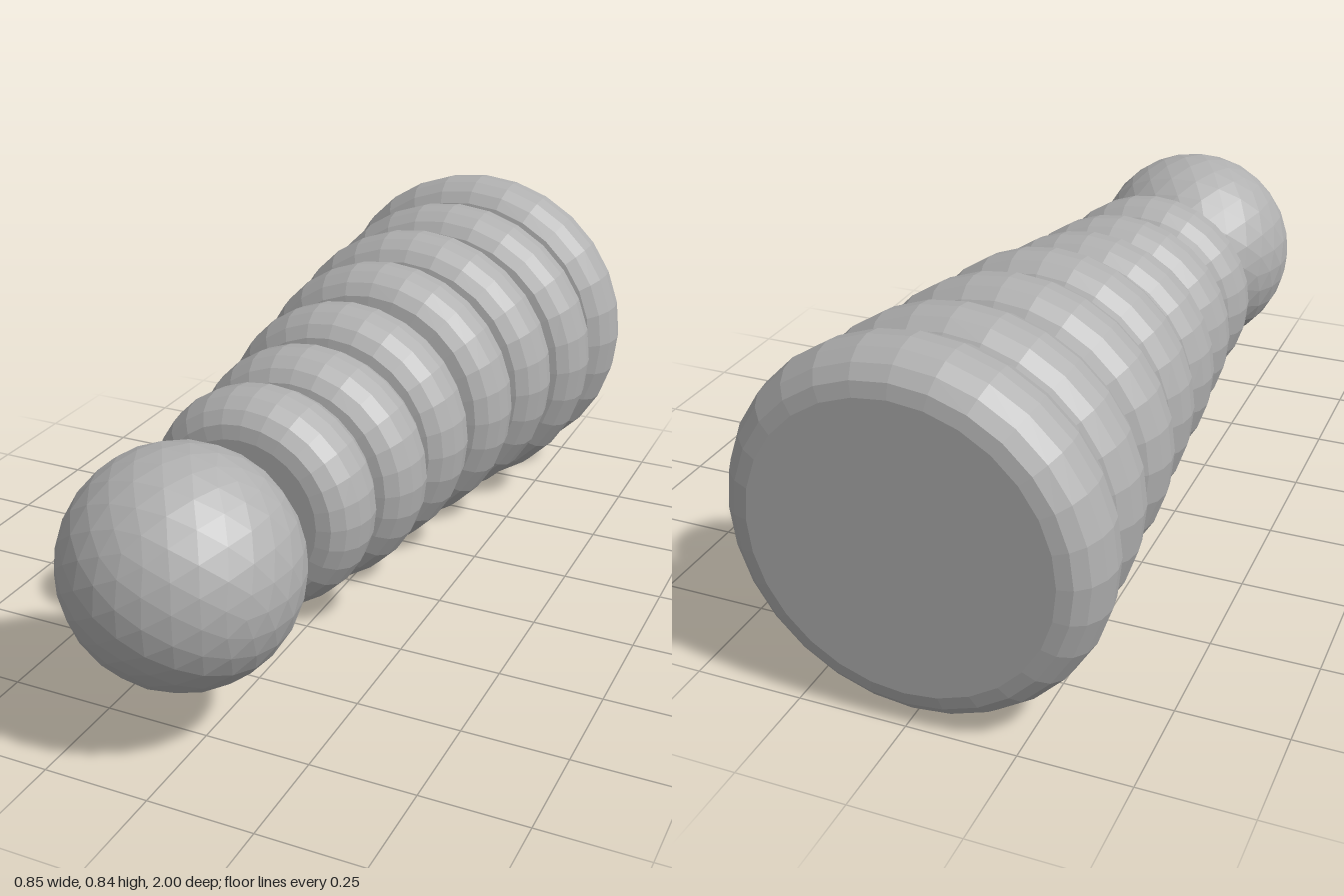
import * as THREE from 'three';

export function createModel() {
  const group = new THREE.Group();
  const grey = new THREE.MeshStandardMaterial({ color: 0xb0b0b0 });
  grey.name = 'plain grey';
  grey.flatShading = true;

  const add = (geometry, name, x, y, z) => {
    const mesh = new THREE.Mesh(geometry, grey);
    mesh.name = name;
    mesh.position.set(x, y, z);
    group.add(mesh);
  };

  // Flat-faced disc with a rounded rim, its axis along z
  const ringGeometry = (rx, ry, half, turn) => {
    const rim = 0.085, steps = 8;
    const points = [new THREE.Vector2(0, -half)];
    for (let i = 0; i <= steps; i++) {
      const a = -Math.PI / 2 + (Math.PI * i) / steps;
      points.push(new THREE.Vector2(rx - rim + rim * Math.cos(a), half * Math.sin(a)));
    }
    points.push(new THREE.Vector2(0, half));
    const geometry = new THREE.LatheGeometry(points, 28, turn);
    geometry.rotateX(Math.PI / 2);
    geometry.scale(1, ry / rx, 1);
    return geometry;
  };

  // Stack of rings, largest at the back: left x, right x, bottom y, top y
  const rings = [
    [-0.424, 0.422, 0, 0.843],
    [-0.4, 0.4, 0.015, 0.815],
    [-0.388, 0.358, 0.055, 0.797],
    [-0.364, 0.325, 0.075, 0.774],
    [-0.345, 0.287, 0.095, 0.735],
    [-0.32, 0.266, 0.112, 0.7],
    [-0.308, 0.23, 0.147, 0.68],
  ];
  const pitch = 0.2125;
  rings.forEach(([x0, x1, y0, y1], i) => {
    add(ringGeometry((x1 - x0) / 2, (y1 - y0) / 2, 0.1075, 0),
      'ring' + (i + 1), (x0 + x1) / 2, (y0 + y1) / 2, -0.8925 + pitch * i);
  });

  // Short peg joining the smallest ring to the ball
  const peg = new THREE.CylinderGeometry(0.07, 0.07, 0.1, 16);
  peg.rotateX(Math.PI / 2);
  add(peg, 'peg', -0.045, 0.412, 0.49);

  // Ball at the front end
  const ball = new THREE.IcosahedronGeometry(0.268, 4);
  ball.scale(1, 1, 0.97);
  add(ball, 'ball', -0.047, 0.41, 0.74);

  return group;
}
